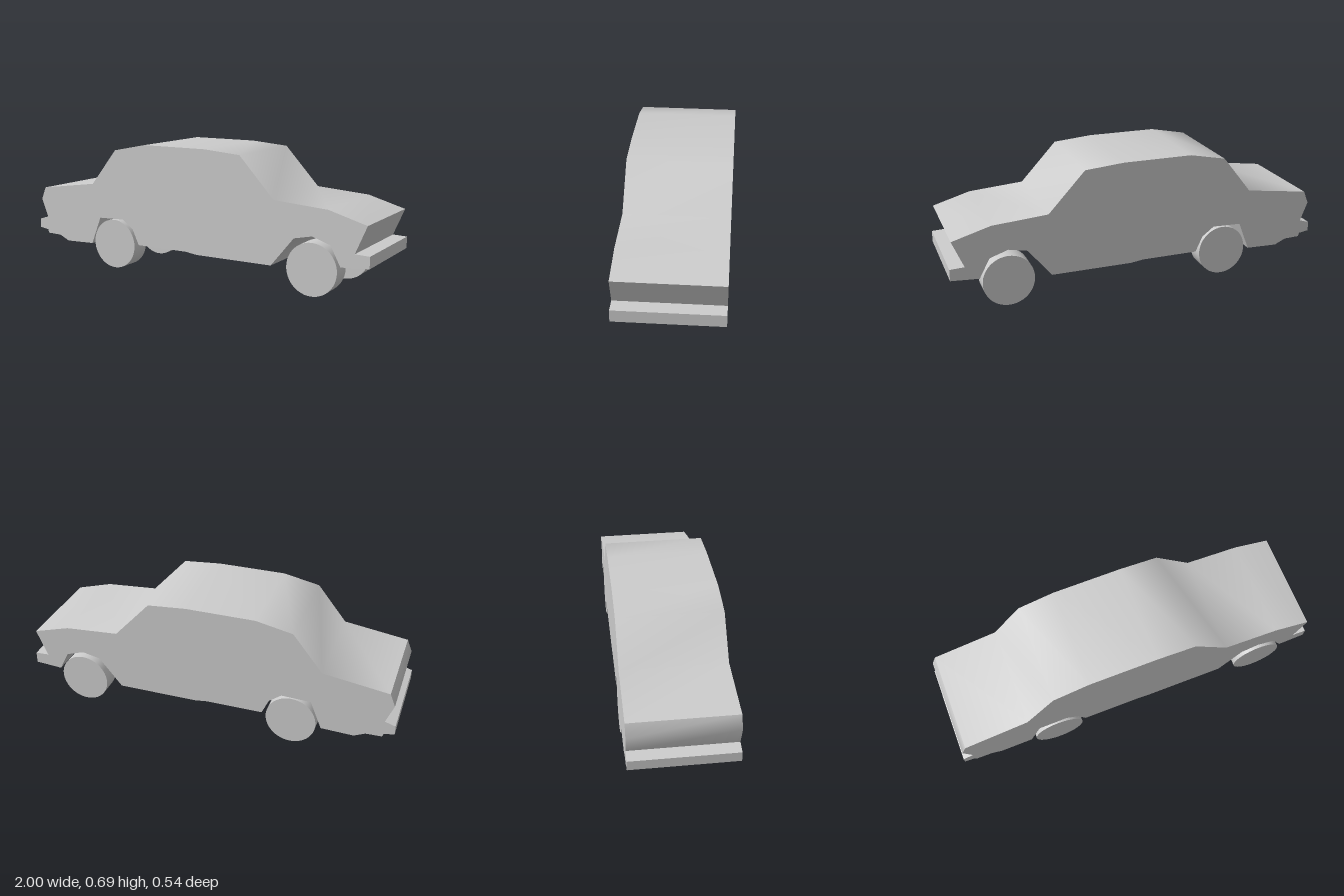
import * as THREE from 'three';
import { toCreasedNormals } from 'three/addons/utils/BufferGeometryUtils.js';

const grey = new THREE.MeshStandardMaterial({ color: 0xcccccc });

// Side outline of the saloon body, clockwise from the rear bumper
const OUTLINE = [
  // rear bumper and tail
  [-1, 0.23], [-0.945, 0.247], [-0.985, 0.348], [-0.958, 0.415],
  // boot, rear window, roof, windscreen
  [-0.615, 0.463], [-0.46, 0.658], [-0.267, 0.697], [0.1, 0.697], [0.305, 0.68], [0.497, 0.473],
  // bonnet, nose, front bumper
  [0.786, 0.452], [0.984, 0.395], [0.925, 0.255], [1, 0.252], [1, 0.192], [0.855, 0.182],
  // front wheel arch
  [0.802, 0.283], [0.706, 0.315], [0.61, 0.295], [0.487, 0.144],
  // sill
  [0.06, 0.144], [-0.01, 0.153], [-0.31, 0.153],
  // rear wheel arch
  [-0.348, 0.235], [-0.412, 0.283], [-0.567, 0.278], [-0.626, 0.128],
  // rear underside
  [-0.797, 0.123], [-0.856, 0.15], [-0.94, 0.153], [-0.947, 0.172], [-1, 0.18],
];

function createBody() {
  const shape = new THREE.Shape(OUTLINE.map(([x, y]) => new THREE.Vector2(x, y)));
  const width = 0.531;
  const extruded = new THREE.ExtrudeGeometry(shape, { depth: width, bevelEnabled: false });
  extruded.translate(0, 0, -width / 2);
  const body = new THREE.Mesh(toCreasedNormals(extruded, 0.8), grey);
  body.name = 'body';
  // slight lean to one side
  body.rotation.x = -0.0095;
  body.position.set(0, -0.0025, 0);
  return body;
}

export function createModel() {
  const car = new THREE.Group();
  car.name = 'car';
  car.add(createBody());

  // Four plain disc wheels
  const wheelGeometry = new THREE.CylinderGeometry(0.133, 0.133, 0.108, 48).rotateX(Math.PI / 2);
  for (const [axle, x, y] of [['front', 0.709, 0.148], ['rear', -0.465, 0.14]]) {
    for (const side of [1, -1]) {
      const wheel = new THREE.Mesh(wheelGeometry, grey);
      wheel.name = axle + (side > 0 ? 'NearWheel' : 'FarWheel');
      wheel.position.set(x, y + side * 0.005, side * 0.215 + 0.003);
      car.add(wheel);
    }
  }
  return car;
}
